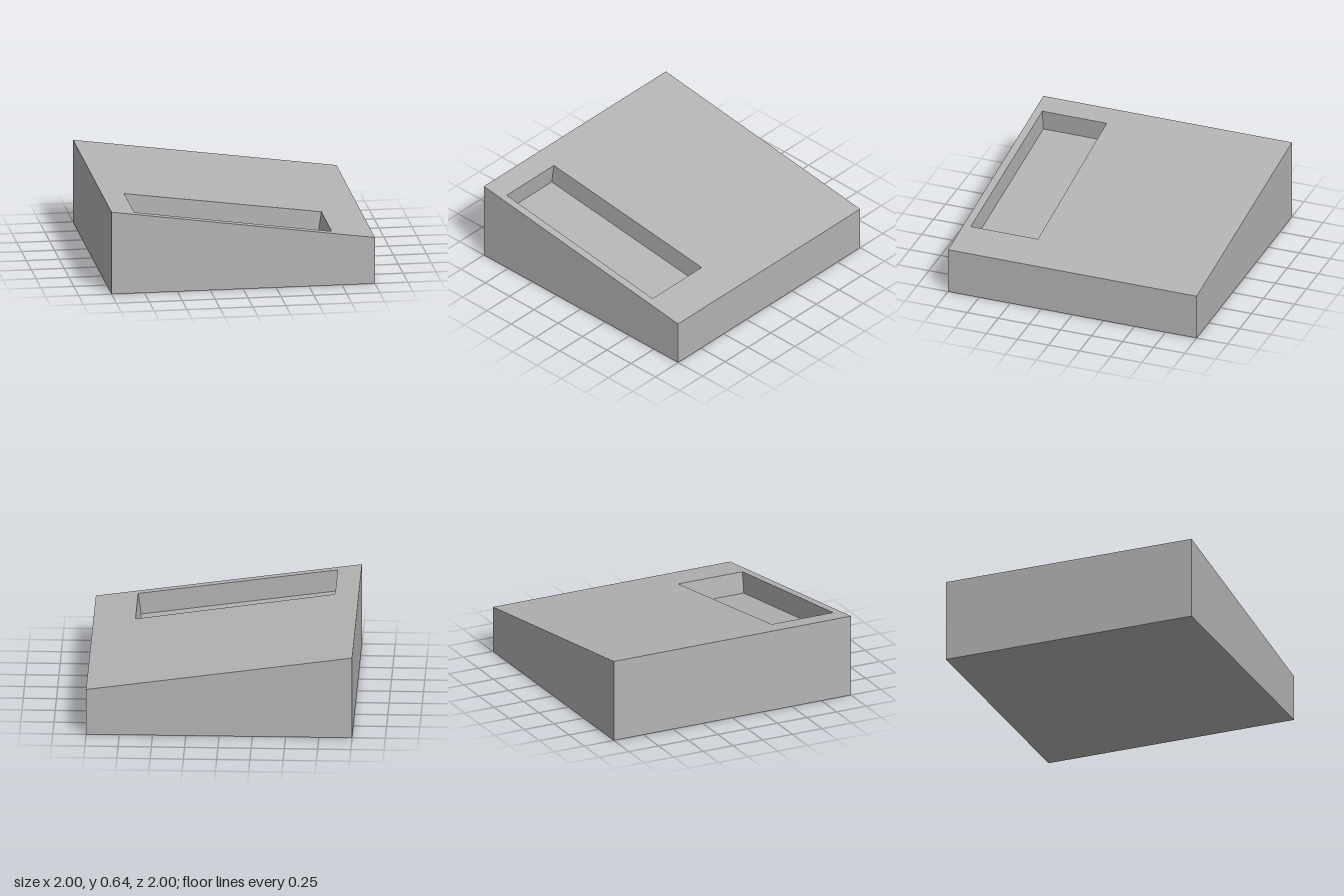
import * as THREE from 'three';

const SLOPE = 0.14;   // fall of the top per unit of x
const DEPTH = 0.165;  // vertical depth of the pocket
const topY = (x) => 0.5 - SLOPE * x;

// Outlines as [x, z], counter-clockwise from above
const OUTER = [[-1, 1], [1, 1], [1, -1], [-1, -1]];
const RIM = [[-0.82, 0.94], [0.68, 0.94], [0.68, 0.4], [-0.82, 0.422]];

// Flat-shaded geometry from a list of four-cornered faces
function quads(faces) {
  const positions = faces.flatMap(([a, b, c, d]) => [a, b, c, a, c, d].flat());
  const geometry = new THREE.BufferGeometry();
  geometry.setAttribute('position', new THREE.Float32BufferAttribute(positions, 3));
  geometry.computeVertexNormals();
  return geometry;
}

// Faces joining a lower ring to an upper ring, facing outwards
const wallsBetween = (low, high) => low.map((p, i) => {
  const j = (i + 1) % low.length;
  return [p, low[j], high[j], high[i]];
});

export function createModel() {
  const group = new THREE.Group();
  group.name = 'slopedBlock';
  const grey = new THREE.MeshStandardMaterial({ color: 0xb4b4b4 });
  grey.name = 'grey';

  const add = (name, geometry) => {
    const mesh = new THREE.Mesh(geometry, grey);
    mesh.name = name;
    group.add(mesh);
  };

  // Outer walls and underside
  const base = OUTER.map(([x, z]) => [x, 0, z]);
  const top = OUTER.map(([x, z]) => [x, topY(x), z]);
  add('wedgeBody', quads([...wallsBetween(base, top), [...base].reverse()]));

  // Sloping top with the pocket opening
  const toVectors = (ring) => ring.map(([x, z]) => new THREE.Vector2(x, -z));
  const shape = new THREE.Shape(toVectors(OUTER));
  shape.holes.push(new THREE.Path(toVectors(RIM)));
  const topGeometry = new THREE.ShapeGeometry(shape).rotateX(-Math.PI / 2);
  const pos = topGeometry.attributes.position;
  for (let i = 0; i < pos.count; i++) pos.setY(i, topY(pos.getX(i)));
  topGeometry.computeVertexNormals();
  add('slopedTop', topGeometry);

  // Pocket sunk at right angles to the slope, with a parallel floor
  const rim = RIM.map(([x, z]) => [x, topY(x), z]);
  const floor = rim.map(([x, y, z]) => [x - SLOPE * DEPTH, y - DEPTH, z]);
  const inward = wallsBetween(floor, rim).map((face) => face.reverse());
  add('pocketWalls', quads(inward));
  add('pocketFloor', quads([floor]));

  return group;
}
